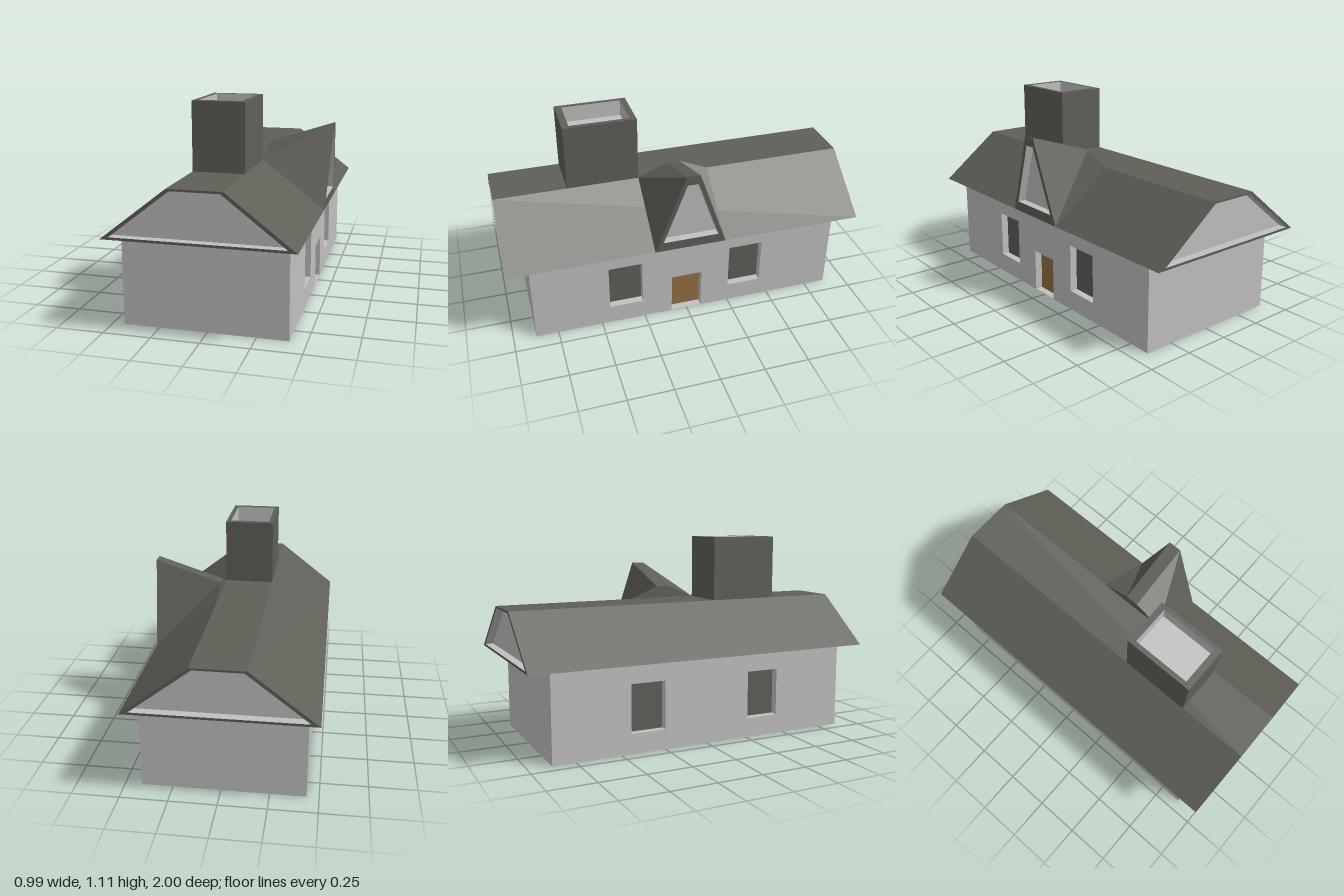
import * as THREE from 'three';

const mat = (name, color) => Object.assign(new THREE.MeshStandardMaterial({ color }), { name });
const v = (x, y, z) => new THREE.Vector3(x, y, z);

// Flat-faced geometry from convex polygons, corners counter-clockwise from outside
function faces(polys) {
  const pos = [];
  for (const p of polys)
    for (let i = 1; i < p.length - 1; i++)
      for (const c of [p[0], p[i], p[i + 1]]) pos.push(c.x, c.y, c.z);
  const g = new THREE.BufferGeometry();
  g.setAttribute('position', new THREE.Float32BufferAttribute(pos, 3));
  g.computeVertexNormals();
  return g;
}

// Quads joining two rings edge by edge
const band = (a, b) => a.map((p, i) => {
  const j = (i + 1) % a.length;
  return [p, a[j], b[j], b[i]];
});

export function createModel() {
  const wall = mat('wallPlaster', 0xc0c0c0);
  const slate = mat('slate', 0x5f5f58);
  const wood = mat('doorWood', 0x916f44);
  const house = new THREE.Group();
  house.name = 'house';

  const add = (name, geometry, material, parent = house) => {
    const m = new THREE.Mesh(geometry, material);
    m.name = name;
    parent.add(m);
    return m;
  };
  const box = (name, x0, x1, y0, y1, z0, z1, material) =>
    add(name, new THREE.BoxGeometry(x1 - x0, y1 - y0, z1 - z0), material)
      .position.set((x0 + x1) / 2, (y0 + y1) / 2, (z0 + z1) / 2);

  // Slate border around a sunken plaster panel
  const recess = (name, outer, inner, depth) => {
    const back = inner.map(p => p.clone().add(depth));
    add(name + 'Border', faces(band(outer, inner)), slate);
    add(name + 'Panel', faces([...band(inner, back), back]), wall);
  };

  // Walls: solid core plus a pierced skin on each long side
  const X0 = -0.437, X1 = 0.413, H = 0.482, Z = 0.875, D = 0.045;
  box('wallCore', X0 + D, X1 - D, 0, H, -Z, Z, wall);
  const windows = [[0.26, 0.45], [-0.445, -0.25]];
  const door = [-0.086, 0.09];
  const rect = (C, z0, z1, y0, y1) => {
    const s = new C();
    s.moveTo(-z0, y0); s.lineTo(-z1, y0); s.lineTo(-z1, y1); s.lineTo(-z0, y1);
    s.closePath();
    return s;
  };
  for (const side of [1, -1]) {
    const label = side > 0 ? 'left' : 'right';
    const skin = rect(THREE.Shape, Z, -Z, 0, H);
    for (const [a, b] of windows) skin.holes.push(rect(THREE.Path, a, b, 0.11, 0.375));
    if (side > 0) skin.holes.push(rect(THREE.Path, ...door, 0.002, 0.24));
    const g = new THREE.ExtrudeGeometry(skin, { depth: D, bevelEnabled: false });
    g.rotateY(Math.PI / 2);
    add(label + 'Wall', g, wall).position.x = side > 0 ? X1 - D : X0;
    const inner = side > 0 ? X1 - D : X0 + D;
    const [p0, p1] = side > 0 ? [inner, inner + 0.003] : [inner - 0.003, inner];
    for (const [a, b] of windows) box(label + 'WindowPane', p0, p1, 0.11, 0.375, a, b, slate);
    if (side > 0) box('door', p0, p1, 0.002, 0.24, ...door, wood);
  }

  // Roof with flat ridge and sunken gables
  const outer = [[-0.495, H], [0.472, H], [0.125, 0.75], [-0.152, 0.75]];
  const inner = [[-0.45, 0.495], [0.426, 0.495], [0.11, 0.739], [-0.137, 0.739]];
  const ring = (pts, z) => pts.map(([x, y]) => v(x, y, z));
  const [soffit, ...slopes] = band(ring(outer, -1), ring(outer, 1));
  add('roofSlopes', faces(slopes), slate);
  add('roofUnderside', faces([soffit]), wall);
  recess('frontGable', ring(outer, 1), ring(inner, 1), v(0, 0, -D));
  recess('backGable', ring(outer, -1).reverse(), ring(inner, -1).reverse(), v(0, 0, D));

  // Chimney with a shallow open top
  const square = (x0, x1, y, z0, z1) => [v(x0, y, z1), v(x1, y, z1), v(x1, y, z0), v(x0, y, z0)];
  const top = square(-0.152, 0.125, 1.113, 0.2, 0.6);
  add('chimneySides', faces(band(square(-0.152, 0.125, 0.75, 0.2, 0.6), top)), slate);
  recess('chimneyTop', top, square(-0.126, 0.1, 1.113, 0.235, 0.562), v(0, -0.09, 0));

  // Dormer with outward leaning front
  const lean = (y, z) => v(0.472 + (y - H) * 0.046, y, z);
  const trapezoid = (y0, w0, y1, w1, f) => [f(y0, w0), f(y0, -w0), f(y1, -w1), f(y1, w1)];
  const front = trapezoid(H, 0.2, 0.94, 0.037, lean);
  const rear = trapezoid(0.75, 0.2, 0.82, 0.037, (y, z) => v(0.125, y, z));
  const [f0, f1, f2, f3] = front, [b0, b1, b2, b3] = rear;
  add('dormerRoof', faces([
    [b0, f0, f3], [b0, f3, b3],
    [f1, b1, b2], [f1, b2, f2],
    [b3, f3, f2, b2], [b1, b0, b3, b2],
  ]), slate);
  recess('dormerFront', front, trapezoid(0.537, 0.155, 0.887, 0.03, lean), v(-D, 0, 0));

  return house;
}
